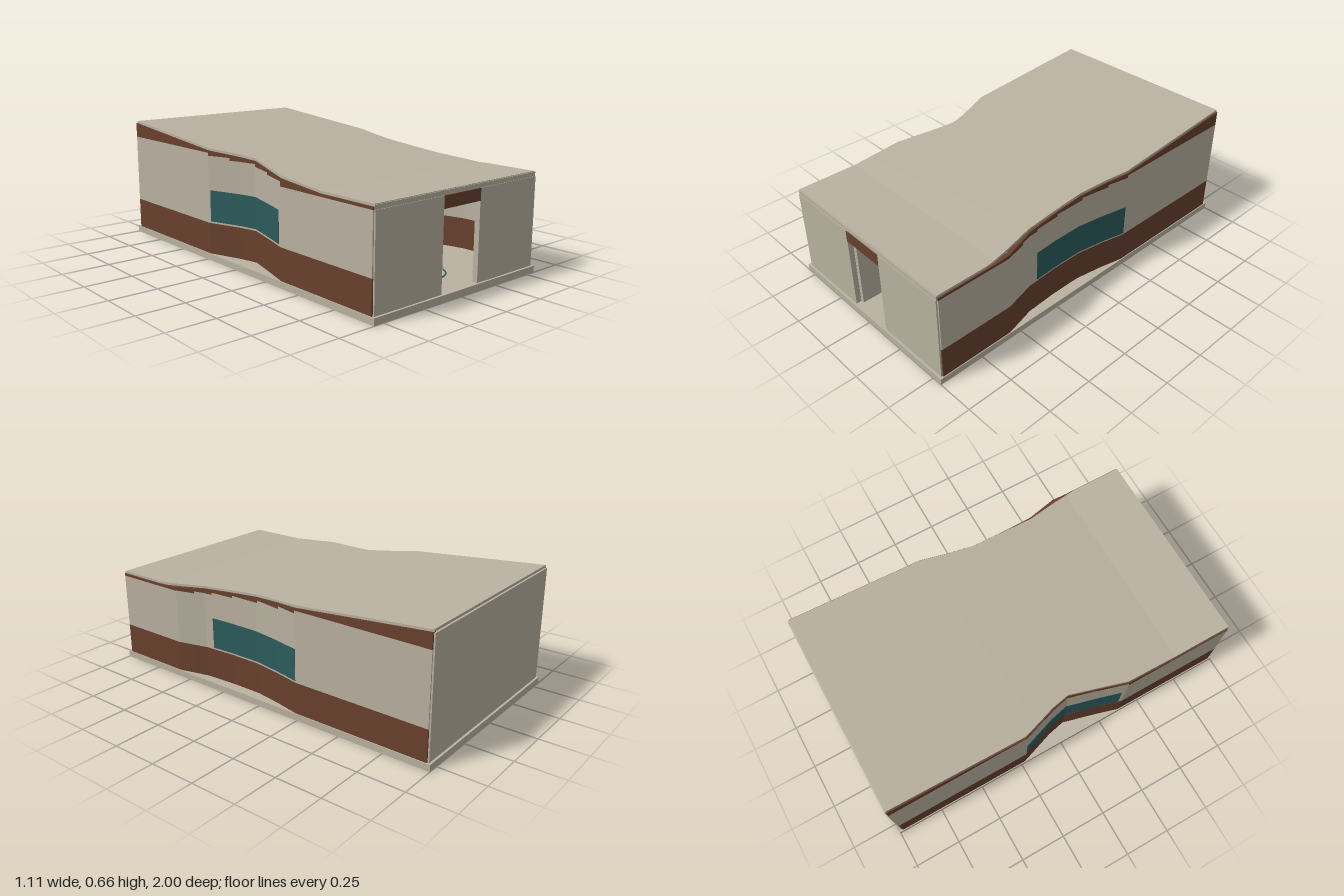
import * as THREE from 'three';

const mat = (name, color, extra = {}) => {
  const m = new THREE.MeshStandardMaterial({ color, ...extra });
  m.name = name;
  return m;
};

// Plan profiles as [z, x], front to back
const WALL = {
  left: [[0.98, 0.552], [0.57, 0.552], [0.48, 0.53], [0.4, 0.51], [0.22, 0.5], [0.05, 0.5], [-0.1, 0.523], [-0.24, 0.552], [-0.98, 0.552]],
  right: [[0.98, -0.552], [0.37, -0.552], [0.25, -0.517], [0.15, -0.49], [0.06, -0.466], [-0.04, -0.488], [-0.15, -0.525], [-0.23, -0.552], [-0.98, -0.552]],
};
const ROOF = {
  left: [[0.98, 0.545], [0.7, 0.545], [0.57, 0.528], [0.4, 0.498], [0.22, 0.494], [0.05, 0.494], [-0.1, 0.516], [-0.24, 0.545], [-0.98, 0.545]],
  right: [[0.98, -0.545], [0.37, -0.545], [0.25, -0.512], [0.15, -0.485], [0.06, -0.461], [-0.04, -0.482], [-0.15, -0.519], [-0.23, -0.545], [-0.98, -0.545]],
};
// Roof height: level at the front, then a steady rise
const SLOPE = [[0.98, 0.515], [0.65, 0.515], [-0.98, 0.66]];

function at(profile, z) {
  for (let i = 1; i < profile.length; i++) {
    const [z0, v0] = profile[i - 1], [z1, v1] = profile[i];
    if (z >= z1) return v0 + (v1 - v0) * (z0 - z) / (z0 - z1);
  }
  return profile[profile.length - 1][1];
}

// Every profile corner between two depths, front to back
function stations(zFront, zBack, ...profiles) {
  const inner = profiles.flat().map(p => p[0]).filter(z => z < zFront && z > zBack);
  return [...new Set([zFront, ...inner, zBack])].sort((a, b) => b - a);
}

// Solid through rectangular sections; section(z) gives [xMin, xMax, yMin, yMax]
function loft(zs, section) {
  const pos = [], idx = [];
  zs.forEach(z => {
    const [a, b, lo, hi] = section(z);
    pos.push(a, lo, z, b, lo, z, b, hi, z, a, hi, z);
  });
  for (let s = 0; s < zs.length - 1; s++) {
    for (let k = 0; k < 4; k++) {
      const a = s * 4 + k, b = s * 4 + (k + 1) % 4;
      idx.push(a, a + 4, b, b, a + 4, b + 4);
    }
  }
  const e = (zs.length - 1) * 4;
  idx.push(0, 1, 2, 0, 2, 3, e, e + 2, e + 1, e, e + 3, e + 2);
  const g = new THREE.BufferGeometry();
  g.setAttribute('position', new THREE.Float32BufferAttribute(pos, 3));
  g.setIndex(idx);
  const flat = g.toNonIndexed();
  flat.computeVertexNormals();
  return flat;
}

export function createModel() {
  const model = new THREE.Group();
  model.name = 'building';
  const plaster = mat('plaster beige', 0xb9b1a0);
  const wood = mat('brown cladding', 0x68402d);
  const glass = mat('teal glass', 0x2c5b5c);

  const add = (name, geo, material, parent = model) => {
    const m = new THREE.Mesh(geo, material);
    m.name = name;
    parent.add(m);
    return m;
  };
  const box = (name, x0, x1, y0, y1, z0, z1, material) =>
    add(name, new THREE.BoxGeometry(x1 - x0, y1 - y0, z1 - z0), material)
      .position.set((x0 + x1) / 2, (y0 + y1) / 2, (z0 + z1) / 2);

  // Base slab
  box('baseSlab', -0.557, 0.557, 0, 0.035, -1, 1, plaster);

  // Front wall around the doorway, and back wall
  box('frontWallRight', -0.545, -0.125, 0.035, 0.49, 0.96, 0.988, plaster);
  box('frontWallLeft', 0.125, 0.545, 0.035, 0.49, 0.96, 0.988, plaster);
  box('doorLintel', -0.125, 0.125, 0.43, 0.49, 0.96, 0.99, wood);
  box('frontFascia', -0.545, 0.545, 0.49, 0.512, 0.96, 0.985, plaster);
  box('backWall', -0.545, 0.545, 0.035, 0.645, -0.988, -0.96, plaster);

  // Open door leaf, central column and floor ring
  box('openDoor', -0.122, -0.102, 0.04, 0.43, 0.72, 0.96, plaster);
  const column = add('column', new THREE.CylinderGeometry(0.011, 0.011, 0.385, 12), wood);
  column.position.set(0, 0.2275, 0);
  const ring = add('floorRing', new THREE.TorusGeometry(0.13, 0.004, 6, 32), glass);
  ring.rotation.x = Math.PI / 2;
  ring.position.set(0.04, 0.037, 0.7);

  // Roof sheet
  add('roof', loft(stations(0.98, -0.98, ROOF.left, ROOF.right, SLOPE), z => {
    const y = at(SLOPE, z);
    return [at(ROOF.right, z), at(ROOF.left, z), y - 0.013, y];
  }), plaster);

  // Side walls: brown base, plaster middle, stepped brown band under the roof
  const steps = {
    left: [[0.98, 0.49], [0.57, 0.492], [0.46, 0.503], [0.35, 0.515], [0.21, 0.527], [0.04, 0.541], [-0.12, 0.555], [-0.24, 0.57]],
    right: [[0.98, 0.49], [0.37, 0.515], [0.21, 0.527], [0.06, 0.541], [-0.1, 0.555], [-0.23, 0.57]],
  };
  const windows = { left: [0.35, -0.24], right: [0.35, -0.22] };

  for (const side of ['left', 'right']) {
    const wall = new THREE.Group();
    wall.name = side + 'Wall';
    model.add(wall);
    const profile = WALL[side], s = side === 'left' ? 1 : -1;
    const strip = (name, zFront, zBack, yMin, yMax, material, proud = 0, thick = 0.022) =>
      add(name, loft(stations(zFront, zBack, profile, SLOPE), z => {
        const out = at(profile, z) + s * proud, inn = out - s * thick;
        return [Math.min(out, inn), Math.max(out, inn), yMin, typeof yMax === 'number' ? yMax : yMax(z)];
      }), material, wall);

    strip('baseBand', 0.98, -0.98, 0.035, 0.2, wood);
    steps[side].forEach(([z, y], i) => {
      const end = steps[side][i + 1]?.[0] ?? -0.98;
      strip('middleWall', z, end, 0.2, y, plaster);
      strip('upperBand', z, end, y, zz => at(SLOPE, zz) - 0.012, wood);
    });
    // Curved window strip, seen from outside and inside
    strip('window', ...windows[side], 0.21, 0.375, glass, 0.002, 0.026);
  }
  return model;
}
